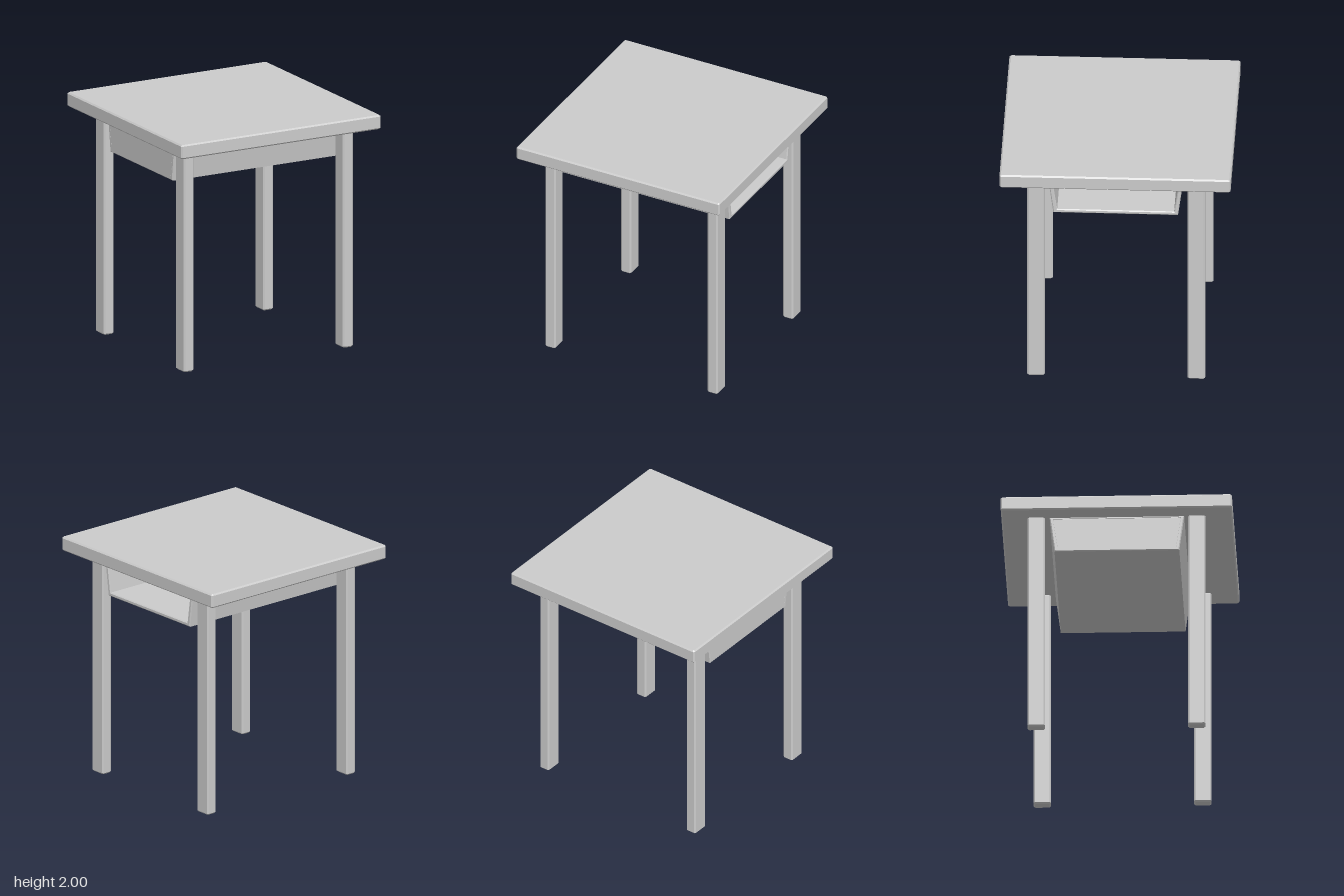
import * as THREE from 'three';

const material = new THREE.MeshStandardMaterial({ color: 0xcccccc });

function polygon(points, Type = THREE.Shape) {
  return new Type(points.map(([x, y]) => new THREE.Vector2(x, y)));
}

// Extrusion of total length `length`, chamfered by `b` and kept inside the outline
function chamferedExtrude(shape, length, b) {
  const geometry = new THREE.ExtrudeGeometry(shape, {
    depth: length - 2 * b,
    bevelEnabled: true,
    bevelThickness: b,
    bevelSize: b,
    bevelOffset: -b,
    bevelSegments: 1,
  });
  return geometry.translate(0, 0, b);
}

// Box with every edge chamfered, standing on y = 0
function chamferedBox(w, h, d, b) {
  const x = w / 2, z = d / 2;
  const outline = polygon([
    [-x + b, -z], [x - b, -z], [x, -z + b], [x, z - b],
    [x - b, z], [-x + b, z], [-x, z - b], [-x, -z + b],
  ]);
  return chamferedExtrude(outline, h, b).rotateX(-Math.PI / 2);
}

// Symmetric trapezoid: half widths at the bottom and top
function trapezoid(bottomHalf, topHalf, y0, y1) {
  return [[-bottomHalf, y0], [bottomHalf, y0], [topHalf, y1], [-topHalf, y1]];
}

function addPart(parent, name, geometry, x = 0, y = 0, z = 0) {
  const mesh = new THREE.Mesh(geometry, material);
  mesh.name = name;
  mesh.position.set(x, y, z);
  parent.add(mesh);
}

export function createModel() {
  const model = new THREE.Group();
  model.name = 'desk';

  // Square table top
  addPart(model, 'tableTop', chamferedBox(1.88, 0.12, 1.89, 0.012), 0, 1.88, 0);

  // Four legs, deeper than they are wide
  const leg = chamferedBox(0.095, 1.885, 0.143, 0.012);
  for (const [side, x] of [['left', 0.757], ['right', -0.743]]) {
    for (const [end, z] of [['Front', 0.652], ['Back', -0.66]]) {
      addPart(model, side + end + 'Leg', leg, x, 0, z);
    }
  }

  // Tapered storage tray under the top, open at the left end
  const tray = new THREE.Group();
  tray.name = 'storageTray';
  const x0 = -0.78, x1 = 0.81;
  const outer = trapezoid(0.51, 0.55, 1.575, 1.88);
  const shell = polygon(outer);
  shell.holes.push(polygon(trapezoid(0.478, 0.515, 1.608, 1.86), THREE.Path));
  addPart(tray, 'trayShell', chamferedExtrude(shell, x1 - x0, 0.008).rotateY(Math.PI / 2), x0);

  // Closed right end of the tray
  const endWall = polygon(trapezoid(0.49, 0.53, 1.59, 1.87));
  addPart(tray, 'trayEndWall', chamferedExtrude(endWall, 0.035, 0.008).rotateY(Math.PI / 2), x0);
  model.add(tray);

  return model;
}
